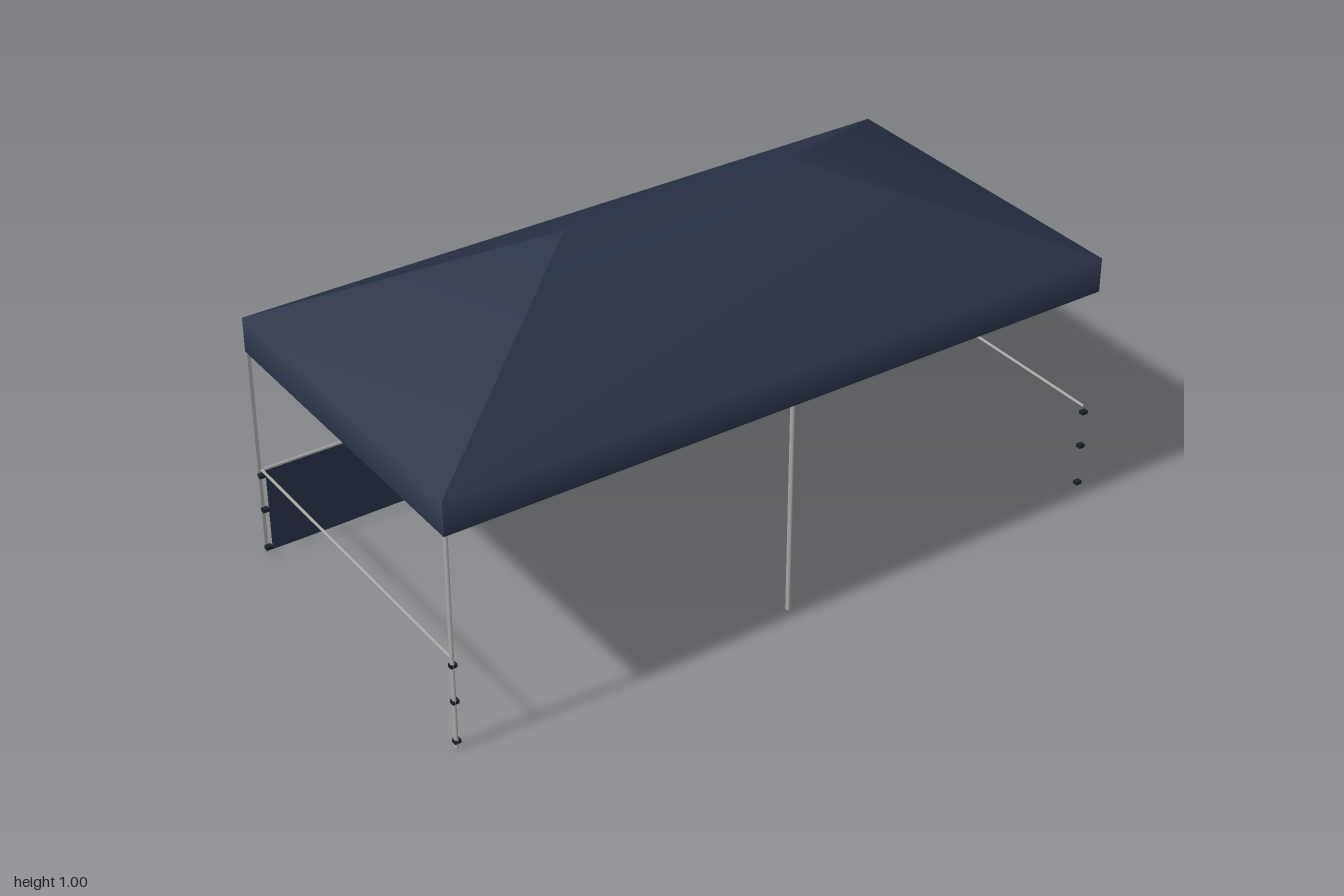
import * as THREE from 'three';

const fabric = new THREE.MeshStandardMaterial({ color: 0x283145, side: THREE.DoubleSide });
fabric.name = 'navy fabric';
const metal = new THREE.MeshStandardMaterial({ color: 0xa6a5a3, side: THREE.DoubleSide });
metal.name = 'grey metal';
const plastic = new THREE.MeshStandardMaterial({ color: 0x1d212b });
plastic.name = 'dark plastic';

const LEG_HEIGHT = 0.71;

function addPart(parent, name, geometry, material, x, y, z) {
  const mesh = new THREE.Mesh(geometry, material);
  mesh.position.set(x, y, z);
  mesh.name = name;
  parent.add(mesh);
  return mesh;
}

// Slim round bar between two points
function bar(name, from, to, radius) {
  const path = new THREE.LineCurve3(new THREE.Vector3(...from), new THREE.Vector3(...to));
  const mesh = new THREE.Mesh(new THREE.TubeGeometry(path, 1, radius, 16), metal);
  mesh.name = name;
  return mesh;
}

// Hipped roof: each side is a smooth strip from the valance up to the ridge
function canopyGeometry() {
  const sections = [[1, 0.625, 0.5], [1, 0.725, 0.5], [0.35, 0.998, 0.003]];
  const signs = [[-1, 1], [1, 1], [1, -1], [-1, -1]];
  const points = [];
  const index = [];
  for (let side = 0; side < 4; side++) {
    const start = points.length / 3;
    for (const [x, y, z] of sections) {
      for (const [sx, sz] of [signs[side], signs[(side + 1) % 4]]) points.push(sx * x, y, sz * z);
    }
    for (let a = start; a < start + 4; a += 2) {
      index.push(a, a + 1, a + 3, a, a + 3, a + 2);
    }
  }
  // Narrow ridge cap
  const cap = points.length / 3;
  const [rx, ry, rz] = sections[2];
  for (const [sx, sz] of signs) points.push(sx * rx, ry, sz * rz);
  index.push(cap, cap + 1, cap + 2, cap, cap + 2, cap + 3);

  const geometry = new THREE.BufferGeometry();
  geometry.setAttribute('position', new THREE.Float32BufferAttribute(points, 3));
  geometry.setIndex(index);
  geometry.computeVertexNormals();
  return geometry;
}

// Half of the back wall, with shallow folds in the cloth
function wallGeometry(side) {
  const geometry = new THREE.PlaneGeometry(0.98, 0.25, 12, 2);
  const p = geometry.attributes.position;
  for (let i = 0; i < p.count; i++) {
    const sag = 1 - (p.getY(i) + 0.125) / 0.25;
    p.setZ(i, 0.002 * sag * Math.sin(p.getX(i) * 9 + side));
  }
  geometry.computeVertexNormals();
  return geometry;
}

export function createModel() {
  const model = new THREE.Group();
  model.name = 'canopyTent';

  addPart(model, 'canopy', canopyGeometry(), fabric, 0, 0, 0);

  // Oval front legs and flat back legs, on the right side and in the middle
  const frontLeg = new THREE.CylinderGeometry(0.005, 0.005, LEG_HEIGHT, 16).scale(1, 1, 1.55);
  const backLeg = new THREE.PlaneGeometry(0.01, LEG_HEIGHT).rotateY(Math.PI);
  for (const x of [-0.992, 0]) {
    addPart(model, 'frontLeg', frontLeg, metal, x, LEG_HEIGHT / 2, 0.492);
    addPart(model, 'backLeg', backLeg, metal, x, LEG_HEIGHT / 2, -0.497);
  }

  // Clamps holding the walls at the corners and the back middle
  const clamp = new THREE.BoxGeometry(0.018, 0.01, 0.015);
  for (const [x, z] of [[-0.99, 0.492], [0.99, 0.492], [-0.99, -0.49], [0, -0.488], [0.99, -0.49]]) {
    for (const y of [0.02, 0.14, 0.248]) addPart(model, 'clamp', clamp, plastic, x, y, z);
  }

  // Waist-high rails along the sides and the back
  for (const x of [-0.99, 0.99]) {
    model.add(bar('sideRail', [x, 0.266, -0.488], [x, 0.266, 0.486], 0.004));
  }
  model.add(bar('backRail', [-0.985, 0.266, -0.49], [0.985, 0.266, -0.49], 0.004));

  // Low back wall in two panels
  addPart(model, 'backWallRight', wallGeometry(-1), fabric, -0.491, 0.137, -0.487);
  addPart(model, 'backWallLeft', wallGeometry(1), fabric, 0.491, 0.137, -0.487);
  return model;
}
